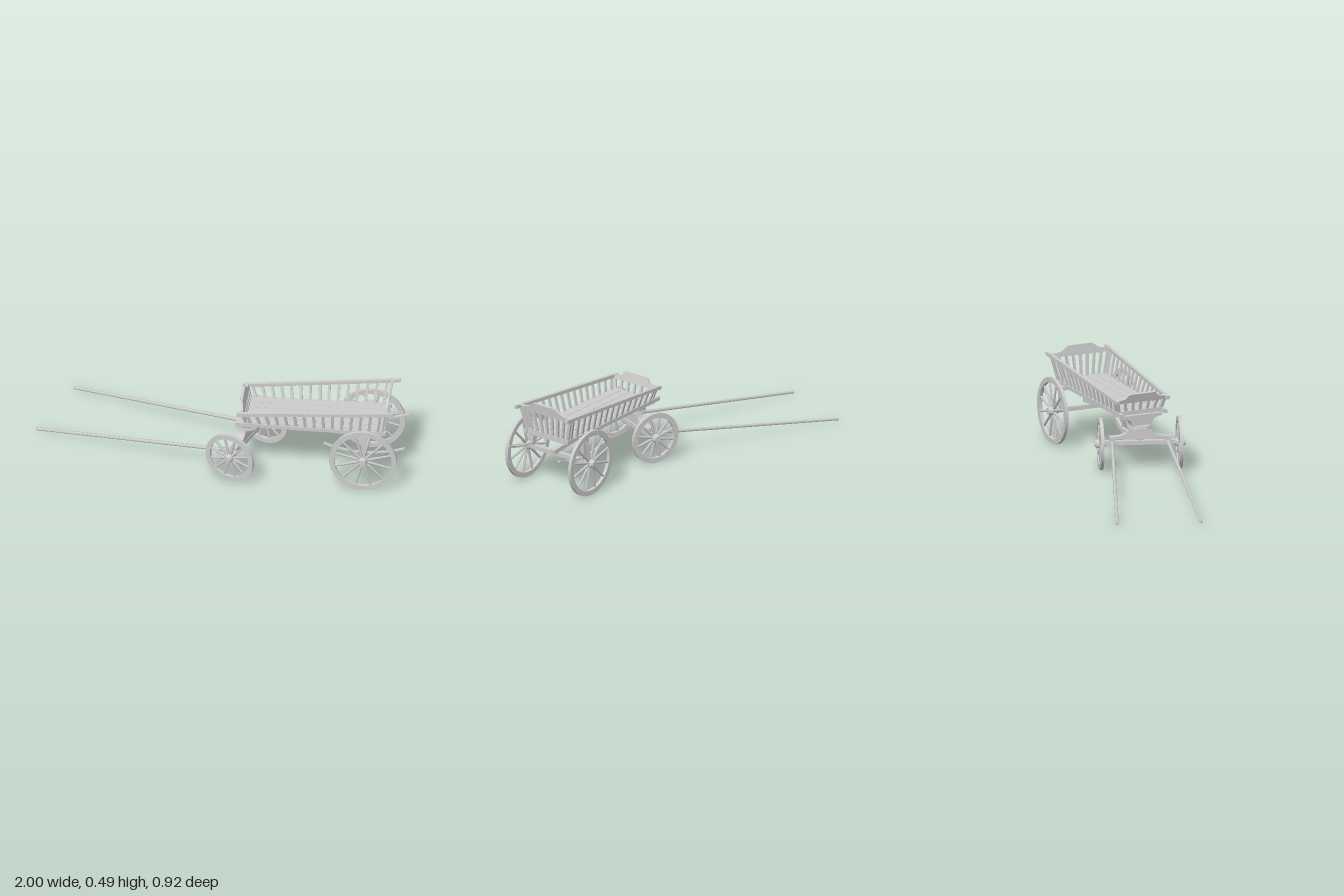
import * as THREE from 'three';
import { toCreasedNormals } from 'three/addons/utils/BufferGeometryUtils.js';

const mat = new THREE.MeshStandardMaterial({ color: 0xcccccc });
const V = (x, y, z) => new THREE.Vector3(x, y, z);
const lerp = THREE.MathUtils.lerp;

function add(parent, name, geo, x = 0, y = 0, z = 0) {
  const m = new THREE.Mesh(geo, mat);
  m.name = name;
  m.position.set(x, y, z);
  parent.add(m);
  return m;
}

function box(parent, name, sx, sy, sz, x, y, z) {
  return add(parent, name, new THREE.BoxGeometry(sx, sy, sz), x, y, z);
}

// Square timber running from a to b; w is the sideways size, h the other
function beam(parent, name, a, b, w, h) {
  const dir = b.clone().sub(a);
  const len = dir.length();
  dir.normalize();
  const n = V(0, 0, 1).cross(dir).normalize();
  const s = dir.clone().cross(n);
  const m = box(parent, name, len, h, w, 0, 0, 0);
  m.quaternion.setFromRotationMatrix(new THREE.Matrix4().makeBasis(dir, n, s));
  m.position.copy(a).add(b).multiplyScalar(0.5);
}

// Board lying across the wagon: mirrored (z, y) outline, thick along x.
// Each point is [z, y], or six numbers for a bezier curve, on the + side.
function crossBoard(parent, name, pts, thick) {
  const shape = new THREE.Shape();
  shape.moveTo(-pts[0][0], pts[0][1]);
  shape.lineTo(pts[0][0], pts[0][1]);
  for (const p of pts.slice(1)) {
    if (p.length === 2) shape.lineTo(p[0], p[1]);
    else shape.bezierCurveTo(...p);
  }
  const half = shape.getPoints(6).slice(1);
  const outline = [...half, ...half.map(p => new THREE.Vector2(-p.x, p.y)).reverse()];
  const geo = new THREE.ExtrudeGeometry(new THREE.Shape(outline), { depth: thick, bevelEnabled: false });
  geo.translate(0, 0, -thick / 2).rotateY(Math.PI / 2);
  add(parent, name, geo);
}

// Ring or turned part about the z axis from a [radius, z] profile
function turned(profile, segments) {
  const geo = new THREE.LatheGeometry(profile.map(p => new THREE.Vector2(p[0], -p[1])).reverse(), segments);
  return toCreasedNormals(geo.rotateX(-Math.PI / 2).rotateX(Math.PI), 0.6);
}

function wheel(parent, name, r, x, z) {
  const g = new THREE.Group();
  g.name = name;
  g.position.set(x, r, z);
  if (z < 0) g.rotation.y = Math.PI;
  const w = 0.009, ri = r - 0.027;
  add(g, 'rim', turned([[ri, -w], [r, -w], [r, w], [ri, w], [ri, -w]], 40));
  add(g, 'hub', turned([[0, -0.03], [0.017, -0.03], [0.024, -0.012], [0.024, 0.012],
    [0.017, 0.022], [0.017, 0.03], [0.01, 0.03], [0.01, 0.04], [0, 0.04]], 16));
  const spokes = 12;
  for (let i = 0; i < spokes; i++) {
    const a = (i + 0.5) / spokes * Math.PI * 2, len = ri - 0.012;
    const m = add(g, 'spoke', new THREE.CylinderGeometry(0.006, 0.008, len, 6));
    m.rotation.z = a - Math.PI / 2;
    m.position.set(Math.cos(a) * (0.016 + len / 2), Math.sin(a) * (0.016 + len / 2), 0);
  }
  parent.add(g);
}

// Leaning end panel: shaped top board with fanned slats below
function endPanel(body, name, x, lean, zBottom, zTop, yBoard, boardPts, count) {
  const g = new THREE.Group();
  g.name = name;
  g.position.set(x, 0.31, 0);
  g.rotation.z = lean;
  const h = yBoard - 0.31;
  crossBoard(g, 'topBoard', boardPts.map(p => p.map((v, i) => i % 2 ? v - 0.31 : v)), 0.014);
  for (let i = 0; i < count; i++) {
    const t = i / (count - 1) * 2 - 1, w = Math.abs(t) === 1 ? 0.018 : 0.014;
    beam(g, 'slat', V(0, 0, t * zBottom), V(0, h + 0.006, t * zTop), w, 0.011);
  }
  body.add(g);
}

function buildBody() {
  const g = new THREE.Group();
  g.name = 'wagonBody';
  g.position.set(0.136, 0, 0.183);
  g.rotation.y = -0.045;

  // Floor planks with narrow gaps
  for (let i = -2; i <= 2; i++)
    box(g, 'floorPlank', 0.75, 0.01, 0.049, 0.37, 0.318, i * 0.0515);
  for (const x of [0.01, 0.2, 0.42, 0.735])
    box(g, 'floorCrossbar', 0.025, 0.016, 0.27, x, 0.305, 0);

  // Sides: lower rail, rising upper rail, slats between
  const n = 15;
  for (const s of [-1, 1]) {
    beam(g, 'lowerRail', V(-0.05, 0.31, s * 0.126), V(0.755, 0.31, s * 0.138), 0.018, 0.02);
    beam(g, 'upperRail', V(-0.04, 0.38, s * 0.145), V(0.797, 0.452, s * 0.172), 0.018, 0.018);
    for (let i = 0; i < n; i++) {
      const t = (i + 0.5) / n;
      beam(g, 'sideSlat', V(lerp(0.01, 0.735, t), 0.312, s * lerp(0.126, 0.137, t)),
        V(lerp(-0.015, 0.755, t), lerp(0.383, 0.448, t), s * lerp(0.146, 0.17, t)), 0.009, 0.015);
    }
  }

  // Front and rear panels
  endPanel(g, 'rearPanel', 0.735, -0.14, 0.132, 0.165, 0.437,
    [[0.172, 0.437], [0.178, 0.459], [0.135, 0.459], [0.095, 0.461, 0.09, 0.488, 0.065, 0.492]], 9);
  endPanel(g, 'frontPanel', 0.008, 0.28, 0.12, 0.138, 0.373,
    [[0.142, 0.373], [0.15, 0.395], [0.115, 0.395], [0.085, 0.396, 0.09, 0.418, 0.07, 0.424]], 7);

  // Front bolster above the turntable, and the long reach to the rear axle
  crossBoard(g, 'frontBolster',
    [[0.055, 0.238], [0.06, 0.27, 0.08, 0.285, 0.115, 0.285], [0.115, 0.3]], 0.05);
  beam(g, 'reach', V(-0.02, 0.277, 0), V(0.69, 0.205, 0), 0.026, 0.024);

  // Rear axle, springs and bolster
  const ax = 0.64;
  box(g, 'rearAxle', 0.026, 0.022, 0.4, ax, 0.18, 0);
  box(g, 'rearBolster', 0.035, 0.02, 0.375, ax, 0.298, 0);
  for (const s of [-1, 1]) {
    box(g, 'springBlock', 0.028, 0.105, 0.014, ax, 0.242, s * 0.17);
    const p = new THREE.QuadraticBezierCurve3(
      V(0.425, 0.25, s * 0.17), V(ax, 0.165, s * 0.17), V(0.858, 0.246, s * 0.171)).getPoints(8);
    for (let i = 0; i < 8; i++) beam(g, 'rearSpring', p[i], p[i + 1], 0.014, 0.009);
    wheel(g, 'rearWheel', 0.18, ax, s * 0.212);
  }
  return g;
}

function buildForecarriage() {
  const g = new THREE.Group();
  g.name = 'forecarriage';
  g.position.set(0.136, 0, 0.182);
  g.rotation.y = -0.39;

  // Axle, carved bolster and turntable
  box(g, 'frontAxle', 0.03, 0.022, 0.4, 0, 0.143, 0);
  crossBoard(g, 'axleBolster',
    [[0.165, 0.165], [0.165, 0.178], [0.1, 0.178, 0.065, 0.188, 0.058, 0.227]], 0.04);
  for (const s of [-1, 1]) box(g, 'axleBlock', 0.03, 0.016, 0.03, 0, 0.16, s * 0.147);
  add(g, 'turntable', new THREE.CylinderGeometry(0.064, 0.064, 0.007, 24), 0, 0.228, 0);
  add(g, 'turntable', new THREE.CylinderGeometry(0.06, 0.06, 0.007, 24), 0, 0.238, 0);
  add(g, 'kingPin', new THREE.CylinderGeometry(0.01, 0.01, 0.15, 10), 0, 0.22, 0);

  // Wheels and the two spreading shafts resting on the ground
  for (const s of [-1, 1]) {
    wheel(g, 'frontWheel', 0.14, 0, s * 0.21);
    const a = V(0.01, 0.148, s * 0.147), b = V(-1.132, 0.011, s * 0.224);
    const shaft = add(g, 'shaft', new THREE.CylinderGeometry(0.008, 0.01, a.distanceTo(b), 8));
    shaft.position.copy(a).add(b).multiplyScalar(0.5);
    shaft.quaternion.setFromUnitVectors(V(0, 1, 0), b.clone().sub(a).normalize());
  }
  return g;
}

export function createModel() {
  const root = new THREE.Group();
  root.name = 'hayWagon';
  root.add(buildBody(), buildForecarriage());
  return root;
}
